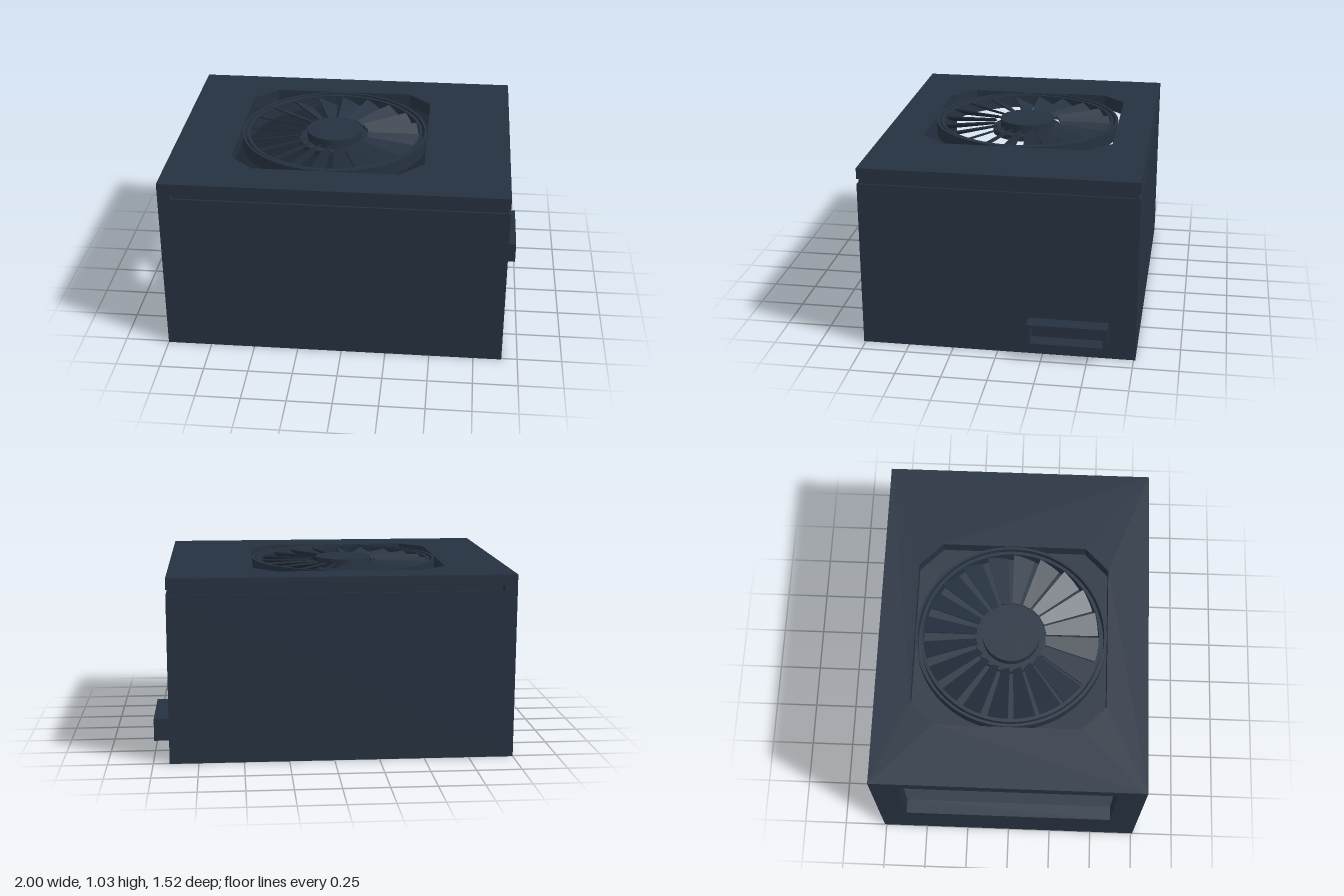
import * as THREE from 'three';
import { toCreasedNormals } from 'three/addons/utils/BufferGeometryUtils.js';

const FAN_X = -0.11, FAN_Z = -0.015;

export function createModel() {
  const model = new THREE.Group();
  model.name = 'powerSupply';
  const metal = new THREE.MeshStandardMaterial({ color: 0x263241 });
  metal.name = 'darkSlate';

  const add = (name, geometry, parent = model) => {
    const mesh = new THREE.Mesh(geometry, metal);
    mesh.name = name;
    parent.add(mesh);
    return mesh;
  };
  const box = (name, x0, x1, y0, y1, z0, z1) =>
    add(name, new THREE.BoxGeometry(x1 - x0, y1 - y0, z1 - z0))
      .position.set((x0 + x1) / 2, (y0 + y1) / 2, (z0 + z1) / 2);
  const points = (list) => list.map(([x, y]) => new THREE.Vector2(x, y));

  // Plan outline (x, -z) raised from y0 to y1
  const slab = (name, shape, y0, y1, parent = model) => {
    const g = new THREE.ExtrudeGeometry(shape, { depth: y1 - y0, bevelEnabled: false, curveSegments: 40 });
    g.rotateX(-Math.PI / 2);
    g.translate(0, y0, 0);
    return add(name, toCreasedNormals(g, 0.5), parent);
  };

  // Outer edge, running from the -x back corner round to the -x front corner
  const plain = [[-1, -0.76], [0.91, -0.76], [0.91, 0.76], [-1, 0.76]];
  const grooved = [
    [-1, -0.76], [-0.93, -0.76], [-0.92, -0.75], [0.9, -0.75],
    [0.9, 0.75], [-0.92, 0.75], [-0.93, 0.76], [-1, 0.76],
  ];
  // Inner edge of the walls, leaving the -x side open between two jambs
  const inner = [
    [-1, 0.6], [-0.92, 0.6], [-0.92, 0.68], [0.83, 0.68],
    [0.83, -0.68], [-0.92, -0.68], [-0.92, -0.6], [-1, -0.6],
  ];
  const wallShape = (outer) => new THREE.Shape(points([...outer, ...inner]));

  // Lid outline with a square hole whose corners are cut off
  const lidShape = (outer) => {
    const s = new THREE.Shape(points(outer));
    const h = 0.543, c = 0.41;
    const hole = [[h, c], [c, h], [-c, h], [-h, c], [-h, -c], [-c, -h], [c, -h], [h, -c]];
    s.holes.push(new THREE.Path(points(hole.map(([x, y]) => [x + FAN_X, y - FAN_Z]))));
    return s;
  };

  // Hollow case with a shallow groove below the lid
  slab('walls', wallShape(plain), 0, 0.94);
  slab('grooveWalls', wallShape(grooved), 0.94, 0.95);
  slab('grooveLid', lidShape(grooved), 0.95, 0.97);
  slab('lid', lidShape(plain), 0.97, 1.03);
  box('floor', -0.92, 0.83, 0, 0.08, -0.68, 0.68);
  box('openingSill', -1, -0.92, 0, 0.35, -0.6, 0.6);

  // Socket: a hollow frame on the +x side
  const frame = new THREE.Shape(points([[0.17, 0.09], [0.61, 0.09], [0.61, 0.215], [0.17, 0.215]]));
  frame.holes.push(new THREE.Path(points([[0.19, 0.105], [0.19, 0.2], [0.587, 0.2], [0.587, 0.105]])));
  const socket = new THREE.ExtrudeGeometry(frame, { depth: 0.09, bevelEnabled: false });
  socket.rotateY(Math.PI / 2);
  socket.translate(0.91, 0, 0);
  add('socketFrame', socket);

  // Fan
  const fan = new THREE.Group();
  fan.name = 'fan';
  fan.position.set(FAN_X, 0, FAN_Z);
  model.add(fan);

  const ring = (name, rOut, rIn, y0, y1) => {
    const s = new THREE.Shape().absarc(0, 0, rOut, 0, Math.PI * 2);
    s.holes.push(new THREE.Path().absarc(0, 0, rIn, 0, Math.PI * 2, true));
    slab(name, s, y0, y1, fan);
  };
  ring('fanRing', 0.54, 0.525, 0.95, 1.03);
  ring('bladeRing', 0.513, 0.495, 0.95, 1.025);

  add('hubCap', new THREE.CylinderGeometry(0.16, 0.16, 0.085, 48), fan).position.y = 0.9925;
  add('hubCore', new THREE.CylinderGeometry(0.205, 0.205, 0.03, 48), fan).position.y = 0.965;

  // Tilted blade: widens outward and drops away from its straight radial edge
  const blade = new THREE.BoxGeometry(1, 1, 1);
  const p = blade.attributes.position;
  for (let i = 0; i < p.count; i++) {
    const u = p.getX(i) + 0.5, v = p.getZ(i) + 0.5;
    const z = v * (0.045 + 0.08 * u);
    p.setXYZ(i, 0.195 + 0.303 * u, 1.015 - 0.5 * z + 0.01 * p.getY(i), z);
  }
  blade.computeVertexNormals();
  for (let i = 0; i < 20; i++) {
    add('blade', blade, fan).rotation.y = (i * Math.PI) / 10;
  }

  return model;
}
